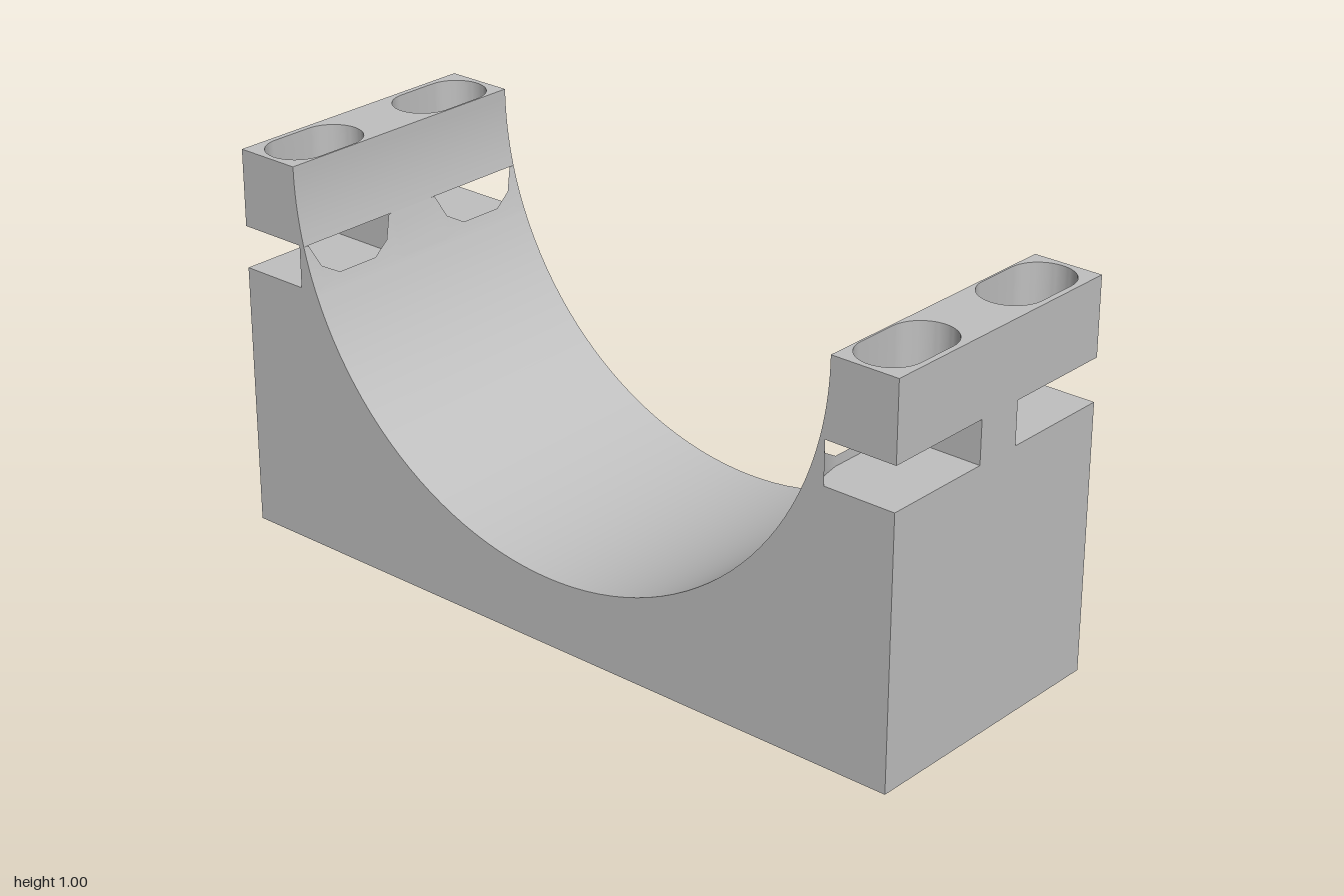
import * as THREE from 'three';
import { toCreasedNormals } from 'three/addons/utils/BufferGeometryUtils.js';

const HALF_W = 0.365, R = 0.82, TOP = 1;
const SLOT_LOW = 0.69, SLOT_HIGH = 0.8, SLOT_X = 0.215;

// Round saddle surface: z at height y, and height at z
const saddleZ = (y) => Math.sqrt(R * R - (TOP - y) ** 2);
const saddleY = (z) => TOP - Math.sqrt(R * R - z * z);
const crease = (g) => toCreasedNormals(g, 0.5);

// Extrudes a (z, y) outline across x, centred
function acrossX(points, width) {
  const g = new THREE.ExtrudeGeometry(new THREE.Shape(points), { depth: width, bevelEnabled: false });
  g.translate(0, 0, -width / 2);
  g.rotateY(-Math.PI / 2);
  return crease(g);
}

// Saddle arc points from height y0 to y1 on the +z side
function arc(y0, y1, n) {
  return Array.from({ length: n + 1 }, (_, i) => {
    const y = y0 + (y1 - y0) * i / n;
    return new THREE.Vector2(saddleZ(y), y);
  });
}

// Block below the slots, with the round cradle cut in it
function baseGeometry() {
  const a = Math.asin((TOP - SLOT_LOW) / R), n = 48;
  const pts = [[-1, SLOT_LOW], [-1, 0], [1, 0], [1, SLOT_LOW]].map((p) => new THREE.Vector2(...p));
  for (let i = 0; i <= n; i++) {
    const t = a + (Math.PI - 2 * a) * i / n;
    pts.push(new THREE.Vector2(R * Math.cos(t), TOP - R * Math.sin(t)));
  }
  return acrossX(pts, 2 * HALF_W);
}

// Web between the two slots of one arm
function webGeometry() {
  const pts = [new THREE.Vector2(1, SLOT_LOW), new THREE.Vector2(1, SLOT_HIGH), ...arc(SLOT_HIGH, SLOT_LOW, 4)];
  return acrossX(pts, 0.13);
}

// Bar above the slots, with two oblong bolt holes and a curved inner face
function capGeometry() {
  const s = new THREE.Shape();
  s.moveTo(-HALF_W, R).lineTo(HALF_W, R).lineTo(HALF_W, 1).lineTo(-HALF_W, 1).closePath();
  for (const x of [-SLOT_X, SLOT_X]) {
    const hole = new THREE.Path();
    hole.absarc(x + 0.055, 0.905, 0.08, -Math.PI / 2, Math.PI / 2, false);
    hole.absarc(x - 0.055, 0.905, 0.08, Math.PI / 2, Math.PI * 1.5, false);
    s.holes.push(hole);
  }
  const g = new THREE.ExtrudeGeometry(s, { depth: TOP - SLOT_HIGH, steps: 8, bevelEnabled: false, curveSegments: 16 });
  g.rotateX(Math.PI / 2);
  g.translate(0, TOP, 0);
  const p = g.attributes.position;
  for (let i = 0; i < p.count; i++) {
    if (p.getZ(i) < R + 0.0005) p.setZ(i, saddleZ(p.getY(i)));
  }
  return crease(g);
}

// Thin lip behind a slot: between the saddle and the slot's rounded inner wall
function lipGeometry() {
  const wall = [[-0.15, 0.81], [-0.135, 0.795], [-0.11, 0.779], [-0.06, 0.769],
    [0.06, 0.769], [0.11, 0.779], [0.135, 0.795], [0.15, 0.81]];
  const n = 4;
  const sections = wall.map(([x, z]) => {
    const top = Math.min(SLOT_HIGH, saddleY(z));
    const inner = arc(SLOT_LOW, top, n).map((p) => new THREE.Vector3(x, p.y, p.x));
    const outer = inner.map((p) => new THREE.Vector3(x, p.y, z)).reverse();
    return [...inner, ...outer];
  });
  const out = [];
  const tri = (a, b, c) => {
    const area = b.clone().sub(a).cross(c.clone().sub(a)).length();
    if (area > 1e-9) for (const v of [a, b, c]) out.push(v.x, v.y, v.z);
  };
  const m = 2 * n + 2;
  for (let i = 0; i < sections.length - 1; i++) {
    const a = sections[i], b = sections[i + 1];
    for (let j = 0; j < m - 1; j++) {
      tri(a[j], a[j + 1], b[j + 1]);
      tri(a[j], b[j + 1], b[j]);
    }
  }
  // End faces
  const first = sections[0], last = sections[sections.length - 1];
  for (let j = 0; j < n; j++) {
    const k = m - 1 - j;
    tri(last[j], last[j + 1], last[k]);
    tri(last[j + 1], last[k - 1], last[k]);
    tri(first[j], first[k], first[j + 1]);
    tri(first[j + 1], first[k], first[k - 1]);
  }
  const g = new THREE.BufferGeometry();
  g.setAttribute('position', new THREE.Float32BufferAttribute(out, 3));
  g.computeVertexNormals();
  return crease(g);
}

export function createModel() {
  const model = new THREE.Group();
  model.name = 'saddleClampHalf';
  const grey = new THREE.MeshStandardMaterial({ color: 0xc0c0c0 });
  grey.name = 'light grey';

  const add = (parent, name, geometry, x = 0) => {
    const mesh = new THREE.Mesh(geometry, grey);
    mesh.name = name;
    mesh.position.x = x;
    parent.add(mesh);
  };

  add(model, 'cradleBase', baseGeometry());

  // Two identical arms, front and back
  const web = webGeometry(), cap = capGeometry(), lip = lipGeometry();
  ['frontArm', 'backArm'].forEach((name, i) => {
    const arm = new THREE.Group();
    arm.name = name;
    add(arm, 'slotWeb', web);
    add(arm, 'boltBar', cap);
    add(arm, 'leftSlotLip', lip, SLOT_X);
    add(arm, 'rightSlotLip', lip, -SLOT_X);
    arm.rotation.y = i * Math.PI;
    model.add(arm);
  });
  return model;
}
